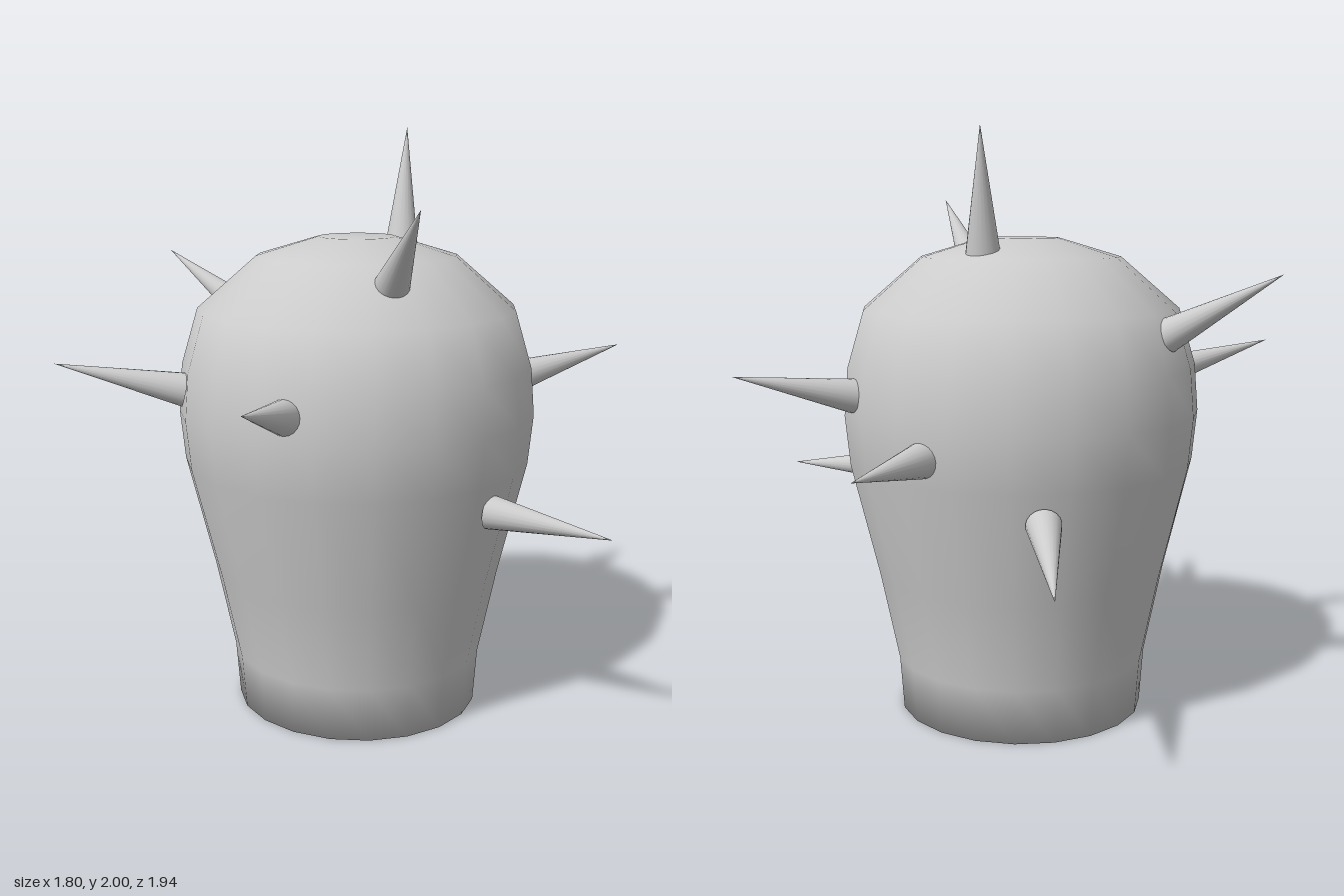
import * as THREE from 'three';

const material = new THREE.MeshStandardMaterial({ color: 0xcccccc });
const UP = new THREE.Vector3(0, 1, 0);

// Cone running from the centre of its base to its tip
function makeSpike(base, tip) {
  const from = new THREE.Vector3(...base);
  const dir = new THREE.Vector3(...tip).sub(from);
  const length = dir.length();
  const geometry = new THREE.ConeGeometry(0.057, length, 20);
  geometry.translate(0, length / 2, 0);
  const spike = new THREE.Mesh(geometry, material);
  spike.quaternion.setFromUnitVectors(UP, dir.normalize());
  spike.position.copy(from);
  return spike;
}

// Bulbous body, closed at both ends and slightly flattened front to back at the foot
function makeBody() {
  const profile = [
    [0, 0], [0.427, 0], [0.44, 0.19], [0.502, 0.5], [0.594, 0.89], [0.61, 1.06],
    [0.597, 1.22], [0.54, 1.41], [0.34, 1.583], [0.13, 1.646], [0, 1.646],
  ].map(([r, y]) => new THREE.Vector2(r, y));
  const geometry = new THREE.LatheGeometry(profile, 20);
  const pos = geometry.attributes.position;
  for (let i = 0; i < pos.count; i++) {
    const squash = 0.94 + 0.06 * Math.min(1, pos.getY(i) / 0.9);
    pos.setZ(i, pos.getZ(i) * squash);
  }
  return new THREE.Mesh(geometry, material);
}

export function createModel() {
  const model = new THREE.Group();
  model.name = 'cactus';

  const body = makeBody();
  body.name = 'body';
  model.add(body);

  // Spikes: base centre, tip
  const spikes = new THREE.Group();
  spikes.name = 'spikes';
  [
    [[0.11, 1.6, -0.22], [0.11, 2, -0.305]],
    [[0.19, 1.525, 0.34], [0.325, 1.775, 0.61]],
    [[-0.48, 1.34, -0.255], [-0.825, 1.545, -0.39]],
    [[-0.515, 1.155, 0.295], [-0.905, 1.255, 0.45]],
    [[-0.09, 1.15, 0.58], [-0.095, 1.245, 0.97]],
    [[0.53, 1.14, -0.27], [0.87, 1.23, -0.48]],
    [[0.5, 0.795, 0.26], [0.895, 0.775, 0.395]],
    [[0.28, 0.98, -0.525], [0.415, 1.005, -0.94]],
    [[-0.1, 0.79, -0.56], [-0.145, 0.685, -0.97]],
  ].forEach(([base, tip], i) => {
    const spike = makeSpike(base, tip);
    spike.name = `spike${i + 1}`;
    spikes.add(spike);
  });
  model.add(spikes);

  return model;
}
